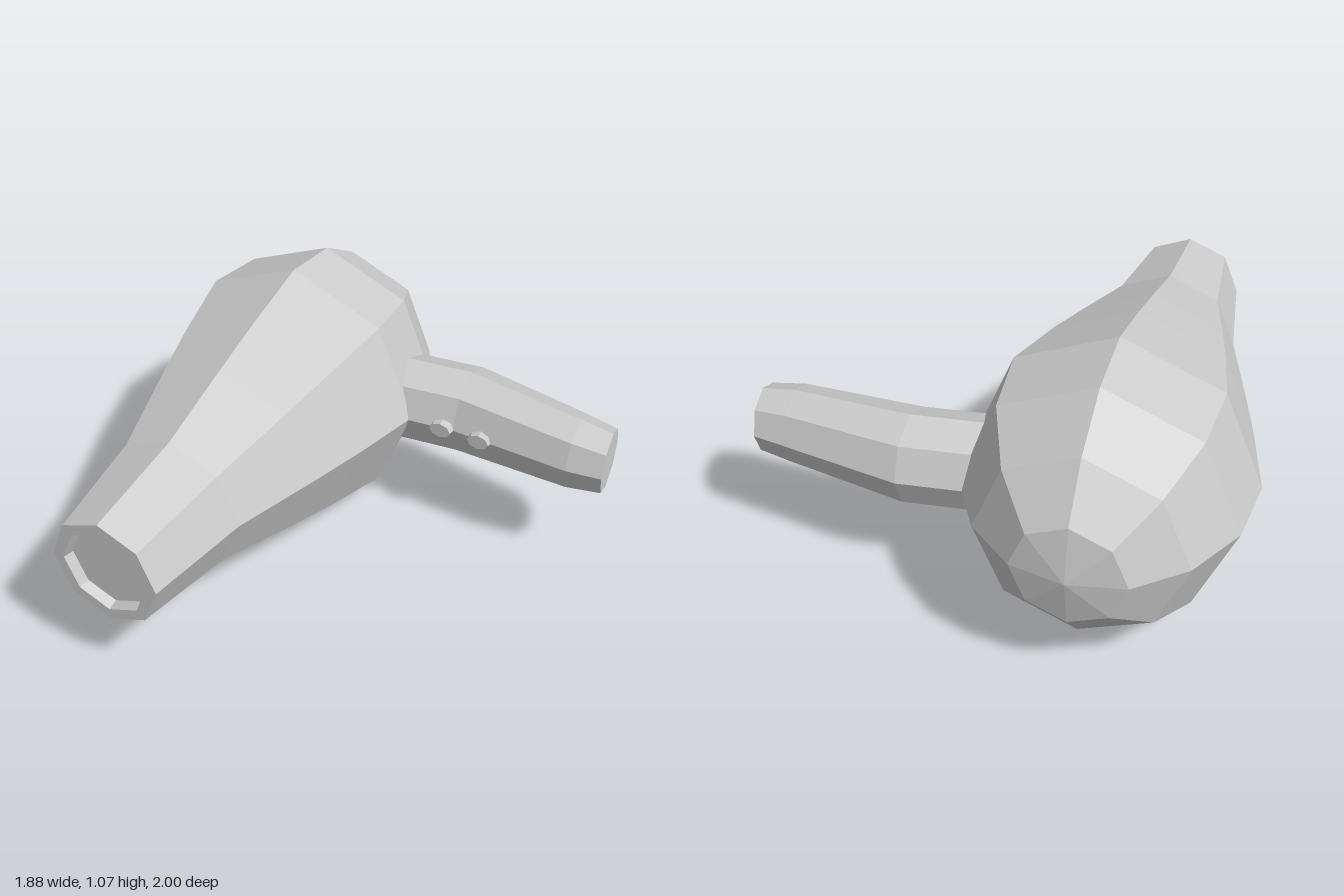
import * as THREE from 'three';

const AXIS_Y = 0.54;
const material = new THREE.MeshStandardMaterial({ color: 0xcccccc, flatShading: true });

function addPart(group, name, geometry) {
  const flat = geometry.index ? geometry.toNonIndexed() : geometry;
  flat.computeVertexNormals();
  const mesh = new THREE.Mesh(flat, material);
  mesh.name = name;
  group.add(mesh);
  return mesh;
}

// Eight-sided barrel turned about z: rounded back, tapering nozzle, recessed outlet
function barrelGeometry() {
  const profile = [
    [0, -1], [0.205, -0.96], [0.38, -0.815], [0.505, -0.595], [0.535, -0.33],
    [0.46, -0.03], [0.387, 0.22], [0.28, 0.565], [0.22, 1],
    [0.175, 1], [0.165, 0.96], [0, 0.96],
  ].map(([r, z]) => new THREE.Vector2(r, z));
  return new THREE.LatheGeometry(profile, 8).rotateX(Math.PI / 2);
}

// Bent, tapering eight-sided grip lofted along x, slightly flattened in front
function handleGeometry() {
  const sides = 8;
  // x, centre z, radius, lean of the ring
  const rings = [
    [-0.1, -0.455, 0.178, 0],
    [0.31, -0.502, 0.178, 0],
    [0.79, -0.447, 0.15, 0.05],
    [0.924, -0.445, 0.13, 0.09],
  ];
  const positions = [];
  const index = [];
  for (const [x, z, r, lean] of rings) {
    for (let j = 0; j < sides; j++) {
      const a = (j / sides) * Math.PI * 2;
      const dz = r * Math.cos(a) * (j === 0 ? 0.96 : 1);
      positions.push(x + dz * lean, AXIS_Y + r * Math.sin(a), z + dz);
    }
  }
  for (let i = 0; i < rings.length - 1; i++) {
    for (let j = 0; j < sides; j++) {
      const k = (j + 1) % sides;
      const a = i * sides + j, b = a + sides, c = (i + 1) * sides + k, d = i * sides + k;
      index.push(a, b, c, a, c, d);
    }
  }
  // end cap
  const last = (rings.length - 1) * sides;
  for (let j = 1; j < sides - 1; j++) index.push(last, last + j + 1, last + j);
  const geometry = new THREE.BufferGeometry();
  geometry.setAttribute('position', new THREE.Float32BufferAttribute(positions, 3));
  geometry.setIndex(index);
  return geometry;
}

export function createModel() {
  const model = new THREE.Group();
  model.name = 'hairDryer';

  const barrel = addPart(model, 'barrel', barrelGeometry());
  barrel.position.set(-0.405, AXIS_Y, 0);

  addPart(model, 'handle', handleGeometry());

  // Two oval switch buttons on the front of the grip
  [0.265, 0.43].forEach((x, i) => {
    const geometry = new THREE.CylinderGeometry(0.045, 0.055, 0.06, 8)
      .rotateX(Math.PI / 2)
      .scale(1, 0.7, 1);
    const button = addPart(model, i ? 'lowerButton' : 'upperButton', geometry);
    button.position.set(x, AXIS_Y, -0.337);
  });

  return model;
}
